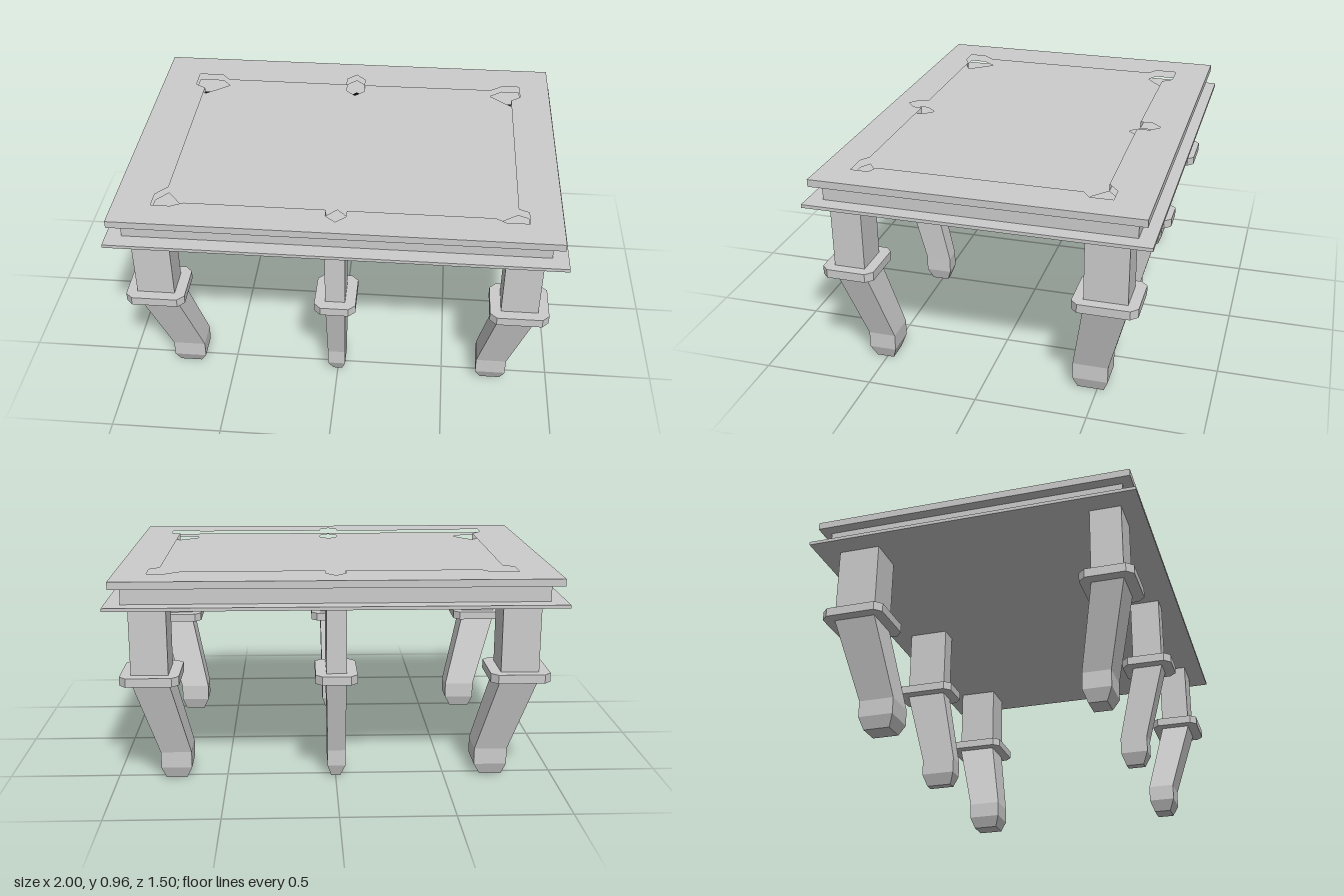
import * as THREE from 'three';

const grey = new THREE.MeshStandardMaterial({ color: 0xcccccc, flatShading: true });
const black = new THREE.MeshStandardMaterial({ color: 0x0a0a0a, flatShading: true });

// Outline given as [x, z] points
const trace = (path, pts) => {
  pts.forEach(([x, z], i) => (i ? path.lineTo(x, -z) : path.moveTo(x, -z)));
  path.closePath();
  return path;
};

// Horizontal slab between y0 and y1, with optional holes
function slab(name, pts, y0, y1, holes = [], material = grey) {
  const shape = trace(new THREE.Shape(), pts);
  shape.holes = holes.map((h) => trace(new THREE.Path(), h));
  const geo = new THREE.ExtrudeGeometry(shape, { depth: y1 - y0, bevelEnabled: false });
  geo.rotateX(-Math.PI / 2).translate(0, y0, 0);
  const mesh = new THREE.Mesh(geo, material);
  mesh.name = name;
  return mesh;
}

const rect = (x0, x1, z0, z1) => [[x0, z0], [x1, z0], [x1, z1], [x0, z1]];

const chamferedRect = (x0, x1, z0, z1, c) => [
  [x0 + c, z0], [x1 - c, z0], [x1, z0 + c], [x1, z1 - c],
  [x1 - c, z1], [x0 + c, z1], [x0, z1 - c], [x0, z0 + c],
];

// Pocket edges, in order round the playing area
const pockets = [
  [[-0.76, -0.42], [-0.81, -0.45], [-0.81, -0.555], [-0.69, -0.555], [-0.65, -0.508]],
  [[-0.045, -0.505], [-0.045, -0.565], [0, -0.61], [0.045, -0.565], [0.045, -0.505]],
  [[0.685, -0.508], [0.745, -0.555], [0.83, -0.555], [0.83, -0.455], [0.785, -0.42]],
  [[0.785, 0.49], [0.83, 0.51], [0.83, 0.59], [0.73, 0.59], [0.685, 0.562]],
  [[0.045, 0.562], [0.045, 0.605], [0, 0.645], [-0.045, 0.605], [-0.045, 0.562]],
  [[-0.67, 0.562], [-0.725, 0.59], [-0.81, 0.59], [-0.81, 0.51], [-0.76, 0.45]],
];
// Side pockets also cut a point into the bed
const pocketHoles = pockets.map((p, i) =>
  i === 1 ? [...p, [0, -0.46]] : i === 4 ? [...p, [0, 0.515]] : p);

// Leg spans per column (x) and row (z): [upper post, foot, sole]
const columns = {
  right: [[-0.9, -0.73], [-0.79, -0.64], [-0.77, -0.67]],
  middle: [[-0.045, 0.045], [-0.045, 0.037], [-0.022, 0.02]],
  left: [[0.74, 0.905], [0.66, 0.8], [0.685, 0.78]],
};
const rows = {
  front: [[0.525, 0.665], [0.45, 0.575], [0.47, 0.55]],
  back: [[-0.645, -0.455], [-0.55, -0.39], [-0.53, -0.41]],
};

function makeLeg(name, xs, zs) {
  const leg = new THREE.Group();
  leg.name = name;

  // Post, slanted shin, foot and tapered sole: a box bent through five levels
  const levels = [[0, 2], [0.055, 1], [0.13, 1], [0.49, 0], [0.84, 0]];
  const geo = new THREE.BoxGeometry(1, 1, 1, 1, 4, 1);
  const pos = geo.attributes.position;
  for (let i = 0; i < pos.count; i++) {
    const [y, s] = levels[Math.round((pos.getY(i) + 0.5) * 4)];
    pos.setXYZ(i, xs[s][pos.getX(i) > 0 ? 1 : 0], y, zs[s][pos.getZ(i) > 0 ? 1 : 0]);
  }
  geo.computeVertexNormals();
  const post = new THREE.Mesh(geo, grey);
  post.name = 'legPost';

  // Chamfered collar round the knee
  const [x, z] = [xs[0], zs[0]];
  const m = 0.048;
  const collar = slab('legCollar',
    chamferedRect(x[0] - m, x[1] + m, z[0] - m, z[1] + m, 0.03), 0.487, 0.527);
  leg.add(post, collar);
  return leg;
}

export function createModel() {
  const table = new THREE.Group();
  table.name = 'poolTable';

  // Table body
  table.add(slab('basePlate', rect(-1, 1, -0.75, 0.75), 0.84, 0.855));
  table.add(slab('bed', rect(-0.93, 0.93, -0.68, 0.68), 0.855, 0.93, pocketHoles));
  table.add(slab('rail', rect(-0.98, 0.975, -0.722, 0.724), 0.93, 0.963, [pockets.flat()]));

  // Dark pocket bottoms
  pocketHoles.forEach((p) => table.add(slab('pocketFloor', p, 0.853, 0.86, [], black)));

  // Six legs
  for (const [rowName, zs] of Object.entries(rows)) {
    for (const [colName, xs] of Object.entries(columns)) {
      const side = colName[0].toUpperCase() + colName.slice(1);
      table.add(makeLeg(`${rowName}${side}Leg`, xs, zs));
    }
  }
  return table;
}
